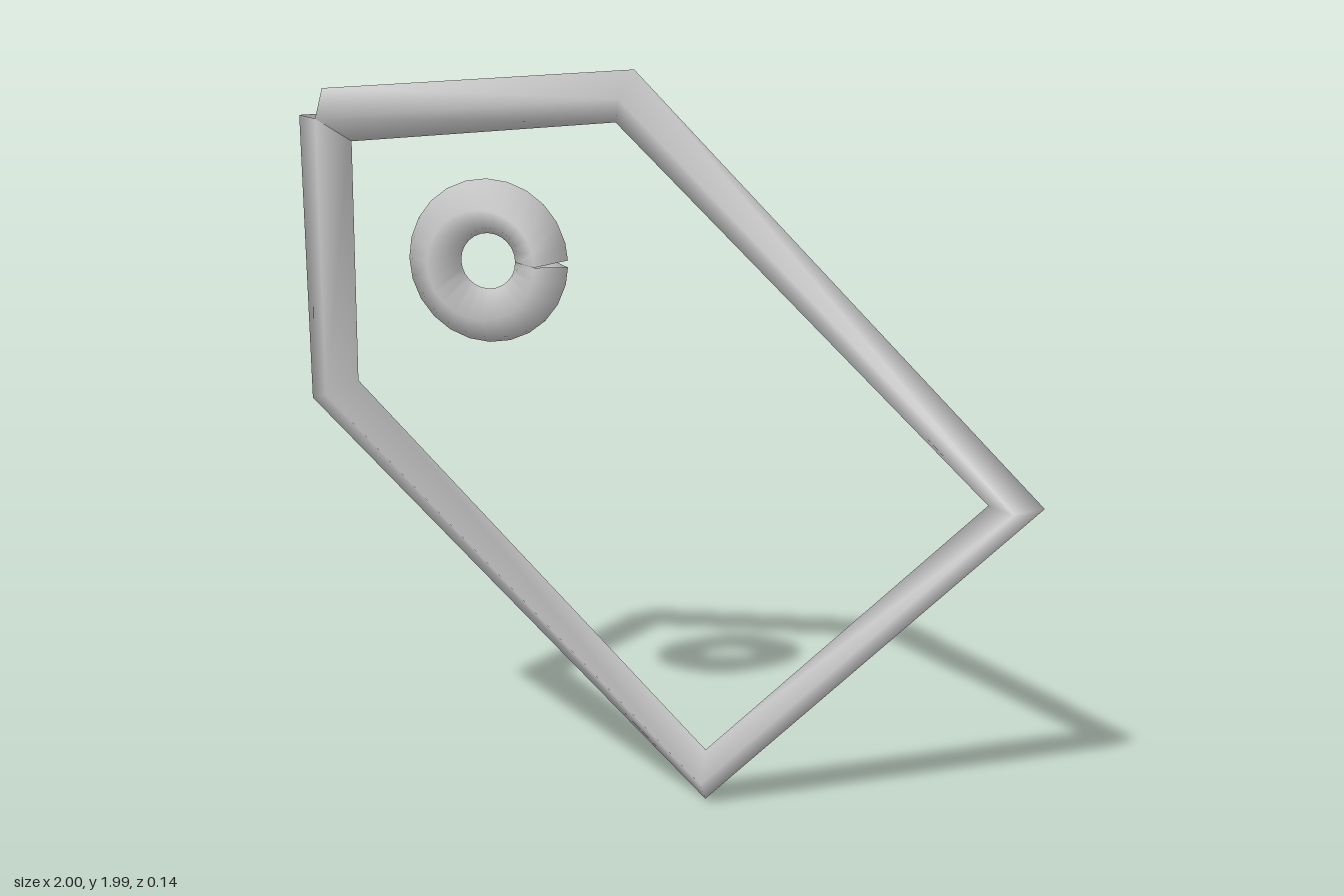
import * as THREE from 'three';

const RADIUS = 0.0725;
const SIDES = 4;

// Sweeps a diamond section along a flat path; corner sections sit on the bisector,
// and both ends are cut square and left open.
function sweep(points) {
  const normals = points.slice(1).map((p, i) => {
    const t = p.clone().sub(points[i]).normalize();
    return new THREE.Vector2(t.y, -t.x);
  });
  const positions = [];
  const index = [];
  points.forEach((p, i) => {
    const before = normals[Math.max(i - 1, 0)];
    const after = normals[Math.min(i, normals.length - 1)];
    const n = before.clone().add(after).normalize();
    for (let j = 0; j < SIDES; j++) {
      const a = (j / SIDES) * Math.PI * 2;
      const r = Math.cos(a) * RADIUS;
      positions.push(p.x + n.x * r, p.y + n.y * r, Math.sin(a) * RADIUS);
    }
  });
  for (let i = 0; i < points.length - 1; i++) {
    for (let j = 0; j < SIDES; j++) {
      const k = (j + 1) % SIDES;
      const a = i * SIDES + j;
      const b = i * SIDES + k;
      index.push(a, a + SIDES, b, b, a + SIDES, b + SIDES);
    }
  }
  const geometry = new THREE.BufferGeometry();
  geometry.setAttribute('position', new THREE.Float32BufferAttribute(positions, 3));
  geometry.setIndex(index);
  geometry.computeVertexNormals();
  return geometry;
}

export function createModel() {
  const group = new THREE.Group();
  group.name = 'tagOutline';
  const grey = new THREE.MeshStandardMaterial({ color: 0xcccccc, side: THREE.DoubleSide });
  grey.name = 'light grey';

  // Five-sided tag frame, starting and ending at the upper left corner
  const corners = [
    [-0.928, 1.86], [-0.928, 1.115], [0.11, 0.076],
    [0.928, 0.895], [-0.11, 1.93], [-0.928, 1.86],
  ].map(([x, y]) => new THREE.Vector2(x, y));
  const frame = new THREE.Mesh(sweep(corners), grey);
  frame.name = 'frame';
  group.add(frame);

  // Eyelet ring, with a small wedge-shaped seam on its +x side
  const steps = 24;
  const circle = [];
  for (let i = 0; i <= steps; i++) {
    const a = (i / steps) * Math.PI * 2;
    circle.push(new THREE.Vector2(-0.485 + 0.147 * Math.cos(a), 1.487 + 0.147 * Math.sin(a)));
  }
  const ring = new THREE.Mesh(sweep(circle), grey);
  ring.name = 'eyeletRing';
  group.add(ring);

  return group;
}
